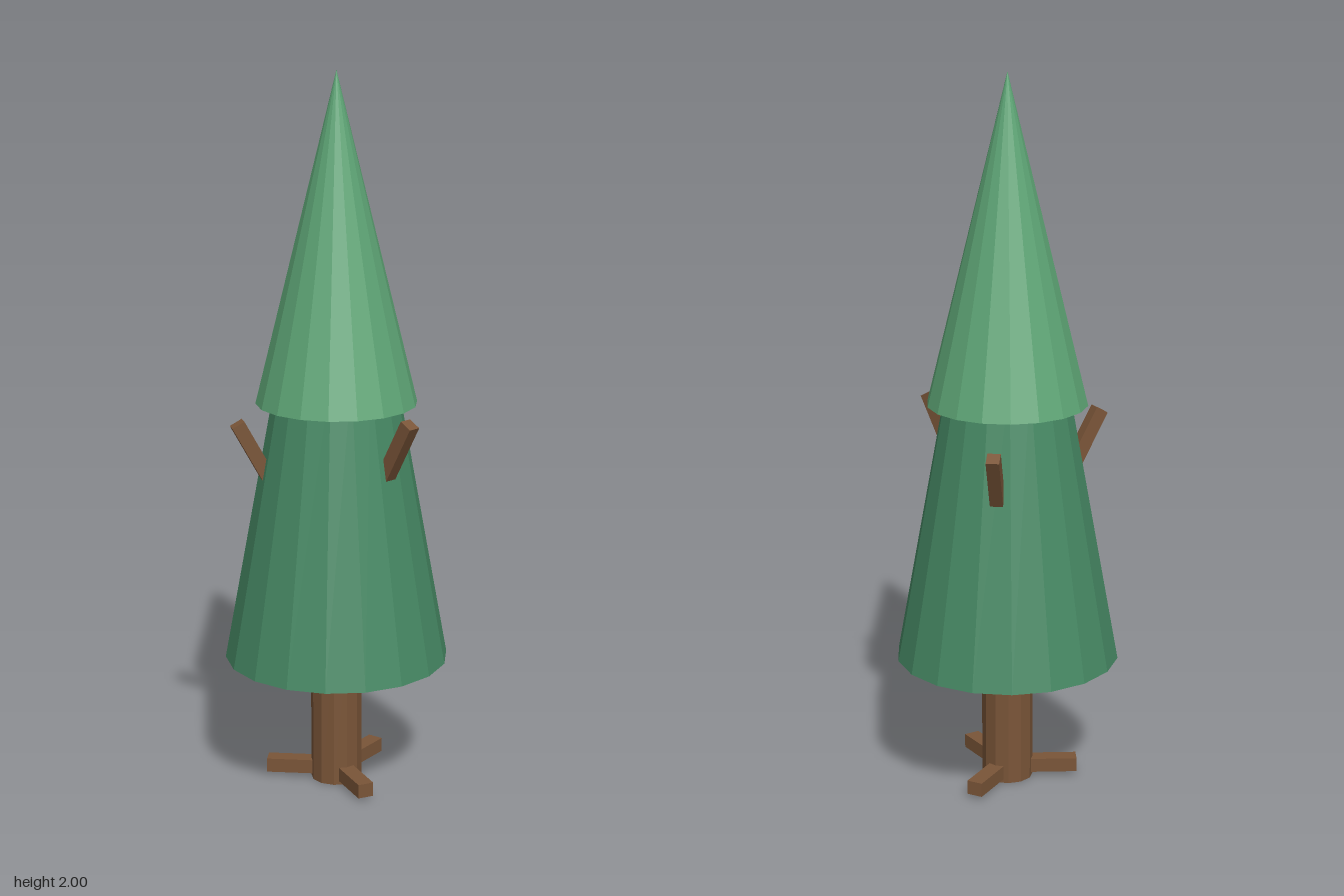
import * as THREE from 'three';

const paint = (color) => new THREE.MeshStandardMaterial({ color, flatShading: true });

export function createModel() {
  const tree = new THREE.Group();
  tree.name = 'pineTree';
  const bark = paint(0x7a5538);
  const lowerGreen = paint(0x478a65);
  const upperGreen = paint(0x5fa777);

  const add = (parent, name, geometry, material) => {
    const mesh = new THREE.Mesh(geometry, material);
    mesh.name = name;
    parent.add(mesh);
    return mesh;
  };

  // Upright tapered part between two heights
  const tier = (name, rTop, rBottom, y0, y1, sides, material) => {
    const geometry = new THREE.CylinderGeometry(rTop, rBottom, y1 - y0, sides);
    geometry.translate(0, (y0 + y1) / 2, 0);
    return add(tree, name, geometry, material);
  };

  // Group whose +x axis points outward at an angle from +x towards +z
  const spoke = (name, degrees) => {
    const group = new THREE.Group();
    group.name = name;
    group.rotation.y = -THREE.MathUtils.degToRad(degrees);
    tree.add(group);
    return group;
  };

  // Trunk and two foliage tiers
  tier('trunk', 0.072, 0.072, 0, 0.4, 12, bark);
  tier('lowerFoliage', 0.16, 0.312, 0.37, 1.2, 18, lowerGreen);
  tier('upperFoliage', 0, 0.222, 1.1, 2, 18, upperGreen);

  // Three flat roots around the foot of the trunk
  for (const degrees of [0, 120, 240]) {
    const root = add(spoke('rootSpoke', degrees), 'root',
      new THREE.BoxGeometry(0.197, 0.04, 0.045), bark);
    root.position.set(0.197 / 2, 0.031, 0);
  }

  // Three stub branches leaning outward, each at its own height
  const length = 0.22, tilt = 0.5;
  for (const [degrees, tipY] of [[-20, 1.022], [100, 1.086], [220, 1.056]]) {
    const geometry = new THREE.BoxGeometry(0.038, length, 0.036);
    geometry.translate(0, -length / 2, 0); // origin at the tip
    const branch = add(spoke('branchSpoke', degrees), 'branch', geometry, bark);
    branch.position.set(0.278, tipY, 0);
    branch.rotation.z = -tilt;
  }

  return tree;
}
